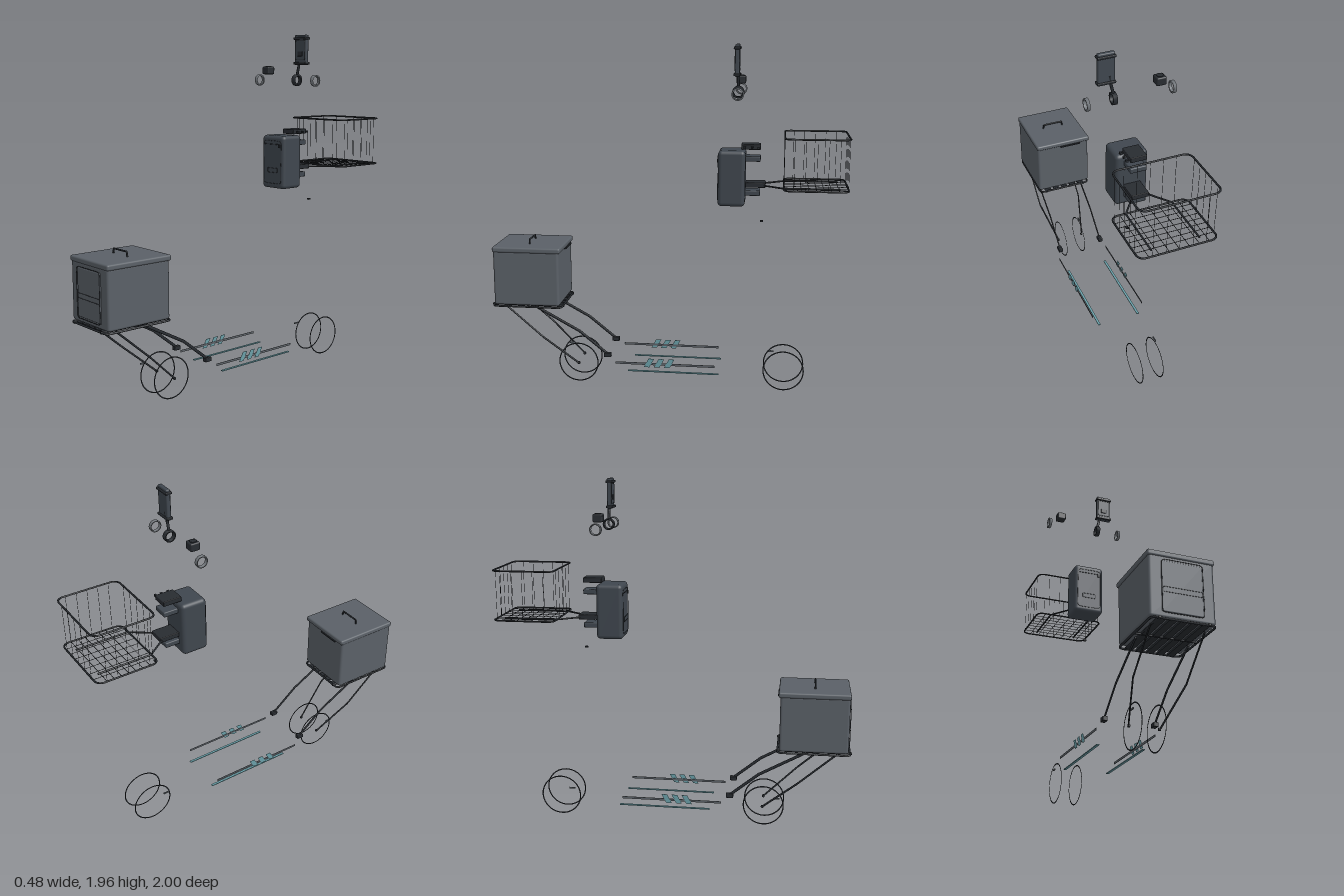
import * as THREE from 'three';
import { RoundedBoxGeometry } from 'three/addons/geometries/RoundedBoxGeometry.js';

const mat = (color) => new THREE.MeshStandardMaterial({ color });
const shell = mat(0x5a6067), bagMat = mat(0x3f464e), dark = mat(0x282c31);
const teal = mat(0x6a9fa8), grey = mat(0x5c6268), ringMat = mat(0x70757a);

const V = (x, y, z) => new THREE.Vector3(x, y, z);

function add(parent, name, geometry, material, x = 0, y = 0, z = 0) {
  const m = new THREE.Mesh(geometry, material);
  m.name = name;
  m.position.set(x, y, z);
  parent.add(m);
  return m;
}
function group(parent, name) {
  const g = new THREE.Group();
  g.name = name;
  parent.add(g);
  return g;
}
// Box given by its extents along each axis; r > 0 rounds the edges
function block(parent, name, material, [x0, x1], [y0, y1], [z0, z1], r = 0) {
  const s = [x1 - x0, y1 - y0, z1 - z0];
  const geo = r ? new RoundedBoxGeometry(...s, 3, r) : new THREE.BoxGeometry(...s);
  return add(parent, name, geo, material, (x0 + x1) / 2, (y0 + y1) / 2, (z0 + z1) / 2);
}
// Straight-segment rod through points, with round joints; flat < 1 thins it along x
function rod(parent, name, material, pts, r, sides = 8, flat = 1) {
  for (let i = 0; i < pts.length - 1; i++) {
    const d = pts[i + 1].clone().sub(pts[i]);
    const m = add(parent, name, new THREE.CylinderGeometry(r, r, d.length(), sides), material);
    m.position.copy(pts[i]).addScaledVector(d, 0.5);
    m.quaternion.setFromUnitVectors(V(0, 1, 0), d.normalize());
    m.scale.x = flat;
    if (i) add(parent, name + 'Joint', new THREE.SphereGeometry(r, sides, 6), material, ...pts[i].toArray()).scale.x = flat;
  }
}
// Closed tube around a rounded rectangle; place(u, v) maps it into space
function loop(parent, name, material, w, h, corner, r, place) {
  const pts = [];
  for (let q = 0; q < 4; q++) {
    const sx = q === 0 || q === 3 ? 1 : -1, sy = q < 2 ? 1 : -1;
    for (let k = 0; k <= 4; k++) {
      const a = (q + k / 4) * Math.PI / 2;
      pts.push(place(sx * (w / 2 - corner) + corner * Math.cos(a), sy * (h / 2 - corner) + corner * Math.sin(a)));
    }
  }
  const path = new THREE.CurvePath();
  pts.forEach((p, i) => path.add(new THREE.LineCurve3(p, pts[(i + 1) % pts.length])));
  const smooth = new THREE.CatmullRomCurve3(path.getSpacedPoints(80).slice(0, -1), true);
  add(parent, name, new THREE.TubeGeometry(smooth, 100, r, 6, true), material);
}
// Hollow band with its axis along x
function band(parent, name, material, x, y, z, inner, outer, width) {
  const prof = [[inner, -1], [outer, -1], [outer, 1], [inner, 1], [inner, -1]]
    .map(([r, s]) => new THREE.Vector2(r, s * width / 2));
  const geo = new THREE.LatheGeometry(prof, 40);
  add(parent, name, geo, material, x, y, z).rotation.z = Math.PI / 2;
}

function cargoBox(root) {
  const g = group(root, 'cargoBox');
  block(g, 'boxBody', shell, [-0.168, 0.168], [0.49, 0.81], [0.6, 0.98], 0.014);
  block(g, 'boxLid', shell, [-0.173, 0.173], [0.8, 0.831], [0.59, 0.984], 0.01);
  block(g, 'frontPanel', shell, [-0.105, 0.105], [0.52, 0.78], [0.97, 0.985], 0.005);
  loop(g, 'panelSeam', dark, 0.21, 0.27, 0.015, 0.0015, (u, v) => V(u, 0.65 + v, 0.988));
  loop(g, 'panelSlot', dark, 0.2, 0.026, 0.004, 0.0012, (u, v) => V(u, 0.633 + v, 0.986));
  rod(g, 'lidHandle', dark, [V(-0.064, 0.83, 0.79), V(-0.058, 0.856, 0.79), V(0.058, 0.856, 0.79), V(0.064, 0.83, 0.79)], 0.005);
  block(g, 'hinge', dark, [-0.11, 0.02], [0.795, 0.803], [0.586, 0.6]);
}

function cargoRack(root) {
  const g = group(root, 'cargoRack');
  loop(g, 'rackFrame', dark, 0.325, 0.4, 0.02, 0.006, (u, v) => V(u, 0.482, 0.79 + v));
  for (let i = -2; i <= 2; i++) block(g, 'rackSlat', dark, [i * 0.055 - 0.018, i * 0.055 + 0.018], [0.478, 0.489], [0.592, 0.985]);
  rod(g, 'rackCrossBar', dark, [V(-0.16, 0.481, 0.79), V(0.16, 0.481, 0.79)], 0.006);
  for (const s of [-1, 1]) {
    rod(g, 'rackRail', dark, [V(s * 0.125, 0.484, 0.582), V(s * 0.125, 0.484, 1)], 0.007);
    // Flat bent stay reaching back, with its clamp
    rod(g, 'upperStay', dark, [V(s * 0.137, 0.48, 0.745), V(s * 0.137, 0.34, 0.49), V(s * 0.137, 0.21, 0.33)], 0.0085, 8, 0.45);
    block(g, 'stayClamp', dark, [s * 0.137 - 0.013, s * 0.137 + 0.013], [0.193, 0.217], [0.307, 0.348], 0.003);
    // Thin stay down to the axle
    rod(g, 'axleStay', dark, [V(s * 0.137, 0.48, 0.92), V(s * 0.137, 0.295, 0.706), V(s * 0.082, 0.124, 0.511)], 0.0055, 8, 0.75);
    add(g, 'axleEyelet', new THREE.CylinderGeometry(0.008, 0.008, 0.01, 12), dark, s * 0.08, 0.124, 0.511).rotation.z = Math.PI / 2;
  }
}

function wheelTrim(root) {
  for (const z of [0.516, -0.677]) {
    const g = group(root, z > 0 ? 'frontWheelTrim' : 'rearWheelTrim');
    for (const s of [-1, 1]) band(g, 'rimStripe', dark, s * 0.062, 0.123, z, 0.111, 0.118, 0.0006);
    block(g, 'valveCap', grey, [-0.098, -0.092], [0.178, 0.186], [z + 0.058, z + 0.093]);
  }
}

function deckTrim(root) {
  const g = group(root, 'deckTrim');
  // Slanted decal in the (-z, y) plane
  const slant = new THREE.Shape([[-0.115, 0.148], [-0.083, 0.148], [-0.055, 0.2], [-0.087, 0.2]].map((p) => new THREE.Vector2(...p)));
  const decal = new THREE.ExtrudeGeometry(slant, { depth: 0.001, bevelEnabled: false }).rotateY(Math.PI / 2);
  for (const s of [-1, 1]) {
    block(g, 'sideStrip', grey, [s * 0.16 - 0.001, s * 0.16 + 0.001], [0.161, 0.174], [-0.29, 0.28]);
    block(g, 'deckStrip', teal, [s * 0.125 - 0.007, s * 0.125 + 0.007], [0.107, 0.112], [-0.31, 0.212]);
    for (let i = 0; i < 3; i++) add(g, 'slantedDecal', decal, teal, s * 0.162 - 0.0005, 0, -i * 0.058);
  }
}

function handlebarBag(root) {
  const g = group(root, 'handlebarBag');
  block(g, 'bagBody', bagMat, [-0.09, 0.09], [1.08, 1.39], [-0.44, -0.29], 0.022);
  loop(g, 'bagSeam', dark, 0.145, 0.25, 0.02, 0.0012, (u, v) => V(u, 1.235 + v, -0.288));
  loop(g, 'bagSlot', dark, 0.08, 0.026, 0.004, 0.0015, (u, v) => V(u, 1.187 + v, -0.289));
  rod(g, 'bagZip', dark, [V(-0.068, 1.34, -0.288), V(0.06, 1.34, -0.288)], 0.002);
  block(g, 'zipPull', dark, [0.054, 0.064], [1.322, 1.34], [-0.29, -0.283]);
  for (const y of [1.327, 1.136]) {
    block(g, 'bagStrap', bagMat, [-0.045, 0.045], [y, y + 0.03], [-0.522, -0.43], 0.006);
  }
  // Upper mounting bracket and its small screws
  block(g, 'upperBracket', dark, [-0.045, 0.045], [1.393, 1.422], [-0.522, -0.415], 0.004);
  for (const z of [-0.51, -0.475, -0.435]) block(g, 'screw', dark, [0.056, 0.068], [1.4, 1.412], [z - 0.006, z + 0.006]);
  block(g, 'looseScrew', dark, [0.055, 0.07], [0.996, 1.004], [-0.542, -0.526]);
}

function basket(root) {
  const g = group(root, 'basket');
  const yLow = 1.196, yTop = 1.473, zc = -0.825, w = 0.42, d = 0.344;
  for (const y of [yLow, yTop]) loop(g, 'basketRim', dark, w, d, 0.035, 0.005, (u, v) => V(u, y, zc + v));
  // Floor grid
  for (let i = -3; i <= 3; i++) {
    const x = i * 0.053, z = zc + i * 0.04;
    rod(g, 'floorWire', dark, [V(x, yLow, zc - d / 2), V(x, yLow, zc + d / 2)], 0.0016, 5);
    rod(g, 'floorWire', dark, [V(-w / 2, yLow, z), V(w / 2, yLow, z)], 0.0018, 5);
  }
  // Side wires
  const wire = (x, z) => rod(g, 'sideWire', dark, [V(x, yLow, z), V(x, yTop, z)], 0.001, 5);
  for (const s of [-1, 1]) {
    for (let i = -2; i <= 2; i++) wire(i * 0.07, zc + s * d / 2);
    for (let i = -2; i <= 2; i++) wire(s * w / 2, zc + i * 0.06);
    // Carrier rail running under the floor into the bracket
    rod(g, 'carrierRail', dark, [V(s * 0.127, 1.195, -0.955), V(s * 0.127, 1.195, -0.655), V(s * 0.04, 1.195, -0.54)], 0.005);
  }
  block(g, 'carrierBracket', dark, [-0.048, 0.048], [1.183, 1.211], [-0.552, -0.44], 0.004);
}

function phoneHolder(root) {
  const g = group(root, 'phoneHolder');
  block(g, 'phonePlate', bagMat, [0.083, 0.172], [1.795, 1.965], [-0.404, -0.38], 0.006);
  loop(g, 'plateEdge', dark, 0.075, 0.11, 0.008, 0.0015, (u, v) => V(0.128 + u, 1.88 + v, -0.379));
  block(g, 'platePad', dark, [0.11, 0.146], [1.845, 1.873], [-0.382, -0.376], 0.002);
  for (const y of [1.806, 1.945]) block(g, 'gripBar', dark, [0.079, 0.177], [y - 0.007, y + 0.007], [-0.41, -0.372], 0.004);
  rod(g, 'holderStem', dark, [V(0.112, 1.84, -0.398), V(0.1, 1.78, -0.396), V(0.09, 1.74, -0.396)], 0.008);
  band(g, 'holderClamp', dark, 0.088, 1.71, -0.396, 0.023, 0.033, 0.022);
}

function barFittings(root) {
  const g = group(root, 'barFittings');
  block(g, 'bellBody', dark, [-0.183, -0.129], [1.742, 1.787], [-0.428, -0.374], 0.008);
  add(g, 'bellDial', new THREE.CylinderGeometry(0.018, 0.018, 0.004, 20), dark, -0.156, 1.788, -0.4);
  for (const s of [-1, 1]) band(g, 'gripRing', ringMat, s * 0.23, 1.708, -0.4, 0.025, 0.033, 0.016);
}

export function createModel() {
  const root = new THREE.Group();
  root.name = 'scooterAccessories';
  for (const build of [cargoBox, cargoRack, wheelTrim, deckTrim, handlebarBag, basket, phoneHolder, barFittings]) build(root);
  return root;
}
